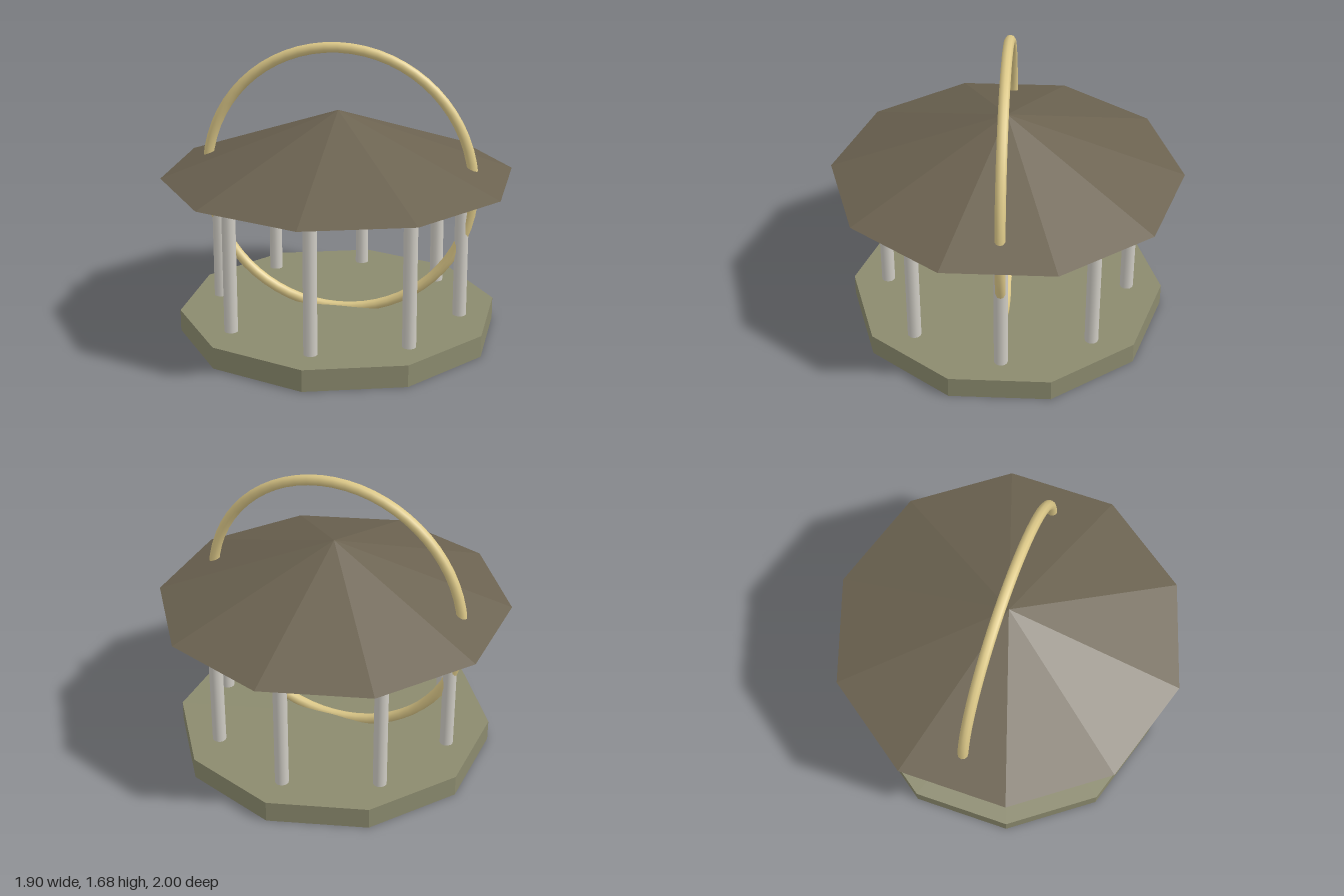
import * as THREE from 'three';

export function createModel() {
  const group = new THREE.Group();
  const mat = (name, color, flatShading = false) => {
    const m = new THREE.MeshStandardMaterial({ color, flatShading });
    m.name = name;
    return m;
  };
  const stone = mat('olive stone', 0x8b8a6e, true);
  const slate = mat('brown roof', 0x6b6250, true);
  const marble = mat('pale column', 0xcfccc4);
  const gold = mat('pale gold', 0xdcc888);

  const add = (name, geometry, material, x, y, z) => {
    const mesh = new THREE.Mesh(geometry, material);
    mesh.name = name;
    mesh.position.set(x, y, z);
    group.add(mesh);
    return mesh;
  };

  // Ten-sided floor slab
  add('base', new THREE.CylinderGeometry(0.915, 0.915, 0.125, 10), stone, 0, 0.0625, 0);

  // Eight columns in a ring
  const column = new THREE.CylinderGeometry(0.039, 0.039, 0.8, 12);
  for (let i = 0; i < 8; i++) {
    const a = (i * Math.PI) / 4;
    add('column', column, marble, 0.71 * Math.sin(a), 0.525, 0.71 * Math.cos(a));
  }

  // Ten-sided pointed roof with closed underside
  add('roof', new THREE.ConeGeometry(1, 0.37, 10), slate, 0, 1.11, 0);

  // Upright ring passing through roof and floor
  add('ring', new THREE.TorusGeometry(0.77, 0.03, 10, 64), gold, 0, 0.88, 0);

  return group;
}
